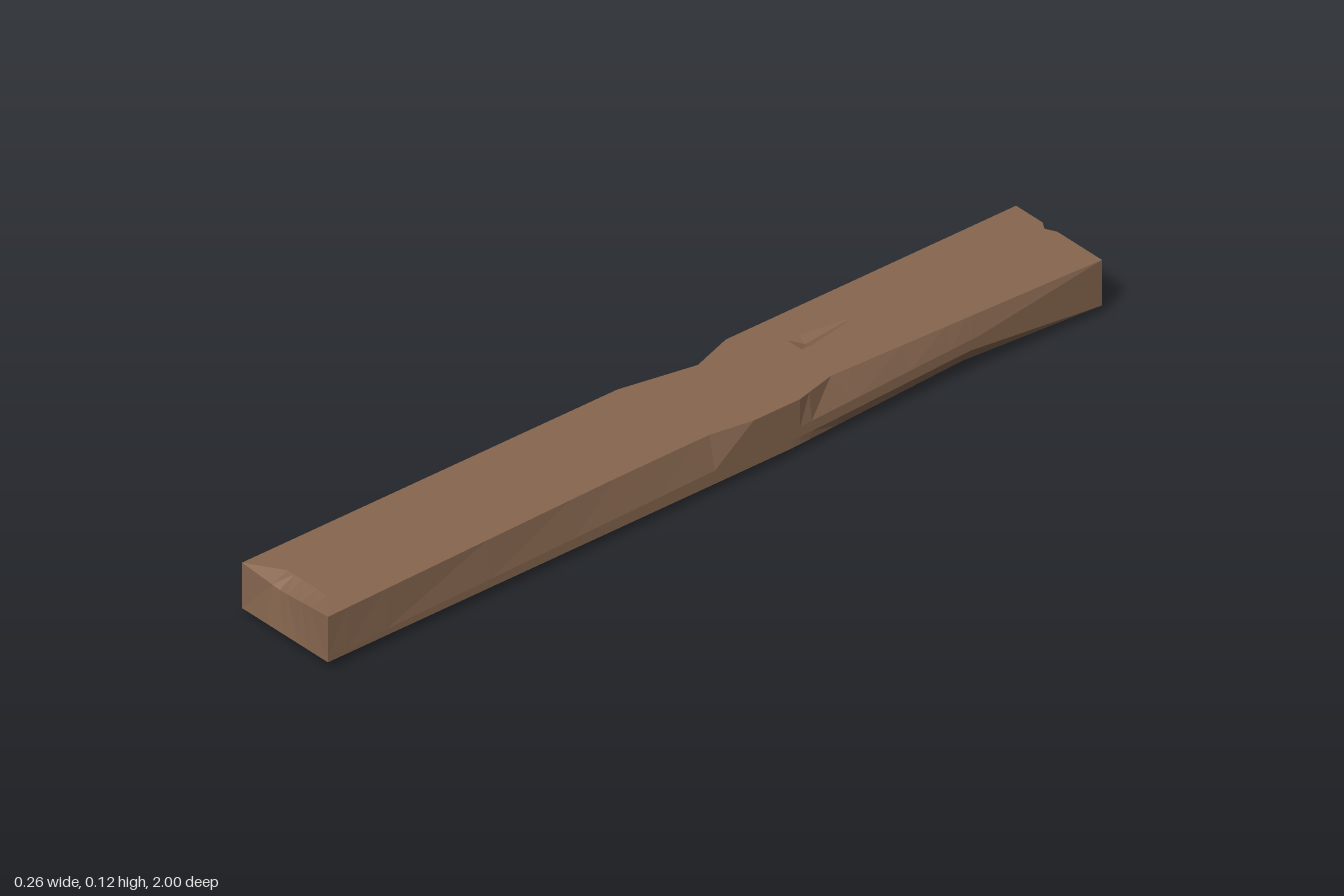
import * as THREE from 'three';

const TOP = 0.125, BASE = 0.019, HALF = 0.13;

// Each chipped edge is a list of [z, value] keys along the plank.
const edges = {
  topRightX: [[-1, 0.13], [-0.9, 0.126], [-0.32, 0.105], [-0.22, 0.13], [-0.1, 0.13], [0, 0.113], [0.25, 0.114], [1, 0.13]],
  topRightY: [[-1, 0.125], [-0.68, 0.08], [-0.32, 0.065], [0, 0.05], [1, 0.03]],
  lowRightX: [[-1, 0.13], [-0.66, 0.105], [-0.2, 0.13], [1, 0.13]],
  lowRightY: [[-1, BASE], [-0.66, 0.055], [0.2, BASE], [1, BASE]],
  lowLeftX: [[-0.7, -HALF], [-0.61, -0.095], [-0.33, -HALF], [0.36, -HALF], [0.58, -0.1], [1, -HALF]],
  lowLeftY: [[-0.7, BASE], [-0.61, 0.055], [-0.33, BASE], [0.36, BASE], [0.58, 0.045], [1, BASE]],
  topLeftX: [[-0.25, -HALF], [-0.15, -0.095], [0.03, -HALF]],
  topLeftY: [[-0.25, TOP], [-0.15, 0.085], [0.03, TOP]],
  dentY: [[-0.5, TOP], [-0.37, 0.113], [-0.34, TOP]],
  bulgeY: [[-1, BASE], [-0.68, 0.013], [0.15, 0], [0.85, 0.016], [1, BASE]],
};

// Piecewise linear value of one edge at z
function at(keys, z) {
  if (z <= keys[0][0]) return keys[0][1];
  for (let i = 1; i < keys.length; i++) {
    const [z0, v0] = keys[i - 1], [z1, v1] = keys[i];
    if (z <= z1) return v0 + (v1 - v0) * (z - z0) / (z1 - z0);
  }
  return keys[keys.length - 1][1];
}

// Nine points across the top (+x to -x), then nine back along the bottom
function section(z) {
  const e = {};
  for (const name in edges) e[name] = at(edges[name], z);
  const top = [
    [HALF, e.topRightY], [e.topRightX, TOP], [0.07, TOP], [0.04, TOP], [-0.005, TOP],
    [-0.03, e.dentY], [-0.05, TOP], [e.topLeftX, TOP], [-HALF, e.topLeftY],
  ];
  const bottom = [
    [HALF, e.lowRightY], [e.lowRightX, BASE], [0.07, e.bulgeY], [0.04, BASE], [-0.005, BASE],
    [-0.03, BASE], [-0.05, BASE], [e.lowLeftX, BASE], [-HALF, e.lowLeftY],
  ];
  const place = ([x, y], i, isTop) => {
    let pz = z;
    // Groove in the back end
    if (z === -1 && i === 5) pz += 0.012;
    // Broken upper edge of the front end
    if (z === 1 && isTop && i > 0 && i < 8) {
      const w = Math.max(0, 1 - Math.abs(x + 0.03) / (x > -0.03 ? 0.16 : 0.1));
      y -= 0.02 * w;
      pz -= 0.012 * w;
    }
    return [x, y, pz];
  };
  return [
    ...top.map((p, i) => place(p, i, true)),
    ...bottom.map((p, i) => place(p, i, false)).reverse(),
  ];
}

function plankGeometry() {
  const stations = new Set([-1, 0.95, 1]);
  Object.values(edges).forEach(keys => keys.forEach(k => stations.add(k[0])));
  const rings = [...stations].sort((a, b) => a - b).map(section);
  const n = rings[0].length;
  const positions = [];
  const tri = (...pts) => pts.forEach(p => positions.push(...p));
  const quad = (a, b, c, d, flip) => {
    if (flip) { tri(a, b, d); tri(b, c, d); } else { tri(a, b, c); tri(a, c, d); }
  };
  // Long faces
  for (let r = 0; r < rings.length - 1; r++) {
    const a = rings[r], b = rings[r + 1];
    for (let j = 0; j < n; j++) {
      const k = (j + 1) % n;
      quad(a[j], a[k], b[k], b[j], j < 5);
    }
  }
  // End faces, as strips from top to bottom
  const back = rings[0], front = rings[rings.length - 1];
  for (let i = 0; i < n / 2 - 1; i++) {
    const o = n - 1 - i;
    quad(front[i], front[i + 1], front[o - 1], front[o], i < 5);
    quad(back[i], back[o], back[o - 1], back[i + 1], false);
  }
  const geometry = new THREE.BufferGeometry();
  geometry.setAttribute('position', new THREE.Float32BufferAttribute(positions, 3));
  geometry.computeVertexNormals();
  return geometry;
}

export function createModel() {
  const wood = new THREE.MeshStandardMaterial({ color: 0x86664f, flatShading: true });
  wood.name = 'brown wood';
  const plank = new THREE.Mesh(plankGeometry(), wood);
  plank.name = 'plank';
  const model = new THREE.Group();
  model.name = 'woodenPlank';
  model.add(plank);
  return model;
}
